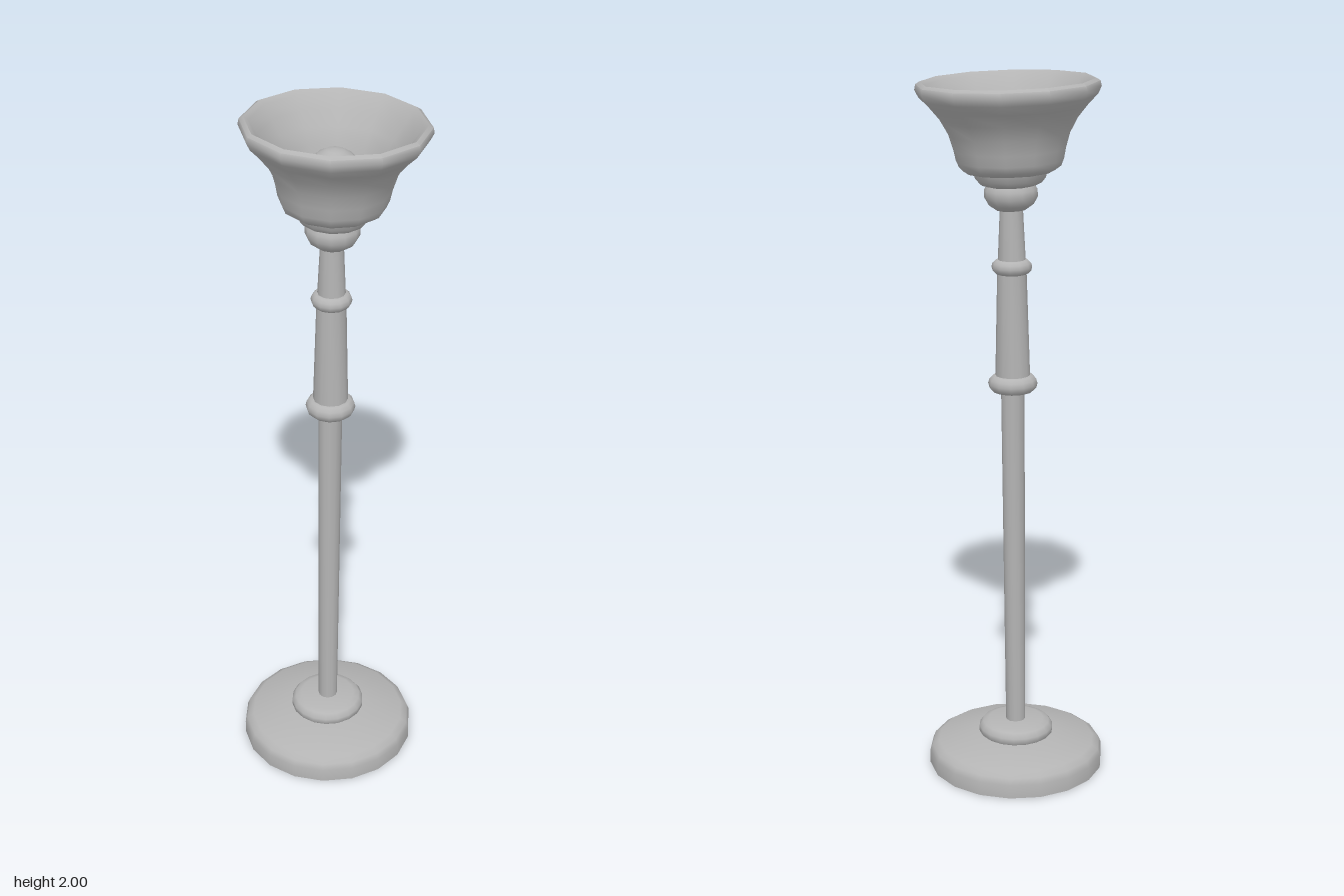
import * as THREE from 'three';
import { toCreasedNormals } from 'three/addons/utils/BufferGeometryUtils.js';

const metal = new THREE.MeshStandardMaterial({ color: 0xb4b4b4 });
metal.name = 'grey';

// Turned part from [radius, height] pairs, listed so that the outside is on the right
function turned(name, profile, sides = 12) {
  const points = profile.map(([r, y]) => new THREE.Vector2(r, y));
  const geometry = toCreasedNormals(new THREE.LatheGeometry(points, sides, Math.PI / 2), 0.85);
  const mesh = new THREE.Mesh(geometry, metal);
  mesh.name = name;
  return mesh;
}

// Rounded collar around the pole
function collar(name, y, radius, half) {
  const core = radius - half;
  const profile = [[core - 0.012, y - half]];
  for (let i = 0; i <= 6; i++) {
    const a = -Math.PI / 2 + (i / 6) * Math.PI;
    profile.push([core + half * Math.cos(a), y + half * Math.sin(a)]);
  }
  profile.push([core - 0.012, y + half]);
  return turned(name, profile);
}

export function createModel() {
  const model = new THREE.Group();
  model.name = 'floorLamp';

  // Round foot in two steps
  const foot = new THREE.Group();
  foot.name = 'foot';
  foot.position.x = -0.011;
  foot.add(
    turned('footPlate', [[0, 0], [0.254, 0], [0.254, 0.04], [0.247, 0.058], [0.228, 0.07], [0.1, 0.092], [0, 0.092]], 18),
    turned('footStep', [[0.1, 0.088], [0.108, 0.096], [0.108, 0.112], [0.097, 0.126], [0.08, 0.131], [0, 0.132]], 18),
  );
  model.add(foot);

  // Slightly leaning stem
  const stem = new THREE.Group();
  stem.name = 'stem';
  stem.position.x = -0.011;
  stem.rotation.z = -0.009;
  stem.add(
    turned('pole', [[0.028, 0.12], [0.033, 1.15]]),
    collar('lowerCollar', 1.157, 0.069, 0.025),
    turned('middleSleeve', [[0.049, 1.16], [0.040, 1.49]]),
    collar('upperCollar', 1.487, 0.056, 0.021),
    turned('upperSleeve', [[0.039, 1.49], [0.031, 1.66]]),
  );
  model.add(stem);

  // Head, tilted a little more than the stem; its local origin is at the cup
  const head = new THREE.Group();
  head.name = 'head';
  head.position.set(0.004, 1.645, 0);
  head.rotation.z = -0.033;
  head.add(
    turned('cup', [[0, 0], [0.042, 0], [0.062, 0.014], [0.073, 0.034], [0.073, 0.054], [0.066, 0.066],
      [0.085, 0.072], [0.096, 0.085], [0.102, 0.105], [0, 0.11]]),
    turned('shade', [[0, 0.105], [0.122, 0.105], [0.138, 0.116], [0.146, 0.135], [0.152, 0.165], [0.164, 0.205],
      [0.186, 0.245], [0.215, 0.28], [0.24, 0.305], [0.25, 0.325], [0.247, 0.34], [0.236, 0.347],
      [0.222, 0.338], [0.198, 0.302], [0.17, 0.265], [0.148, 0.225], [0.136, 0.175], [0.126, 0.14],
      [0.105, 0.122], [0, 0.12]]),
  );

  // Bulb: narrow neck under a ball
  const bulb = [[0.035, 0.12], [0.04, 0.14]];
  for (let i = 0; i <= 8; i++) {
    const a = -1 + (i / 8) * (1 + Math.PI / 2);
    bulb.push([Math.max(0, 0.075 * Math.cos(a)), 0.197 + 0.075 * Math.sin(a)]);
  }
  head.add(turned('bulb', bulb));
  model.add(head);

  return model;
}
